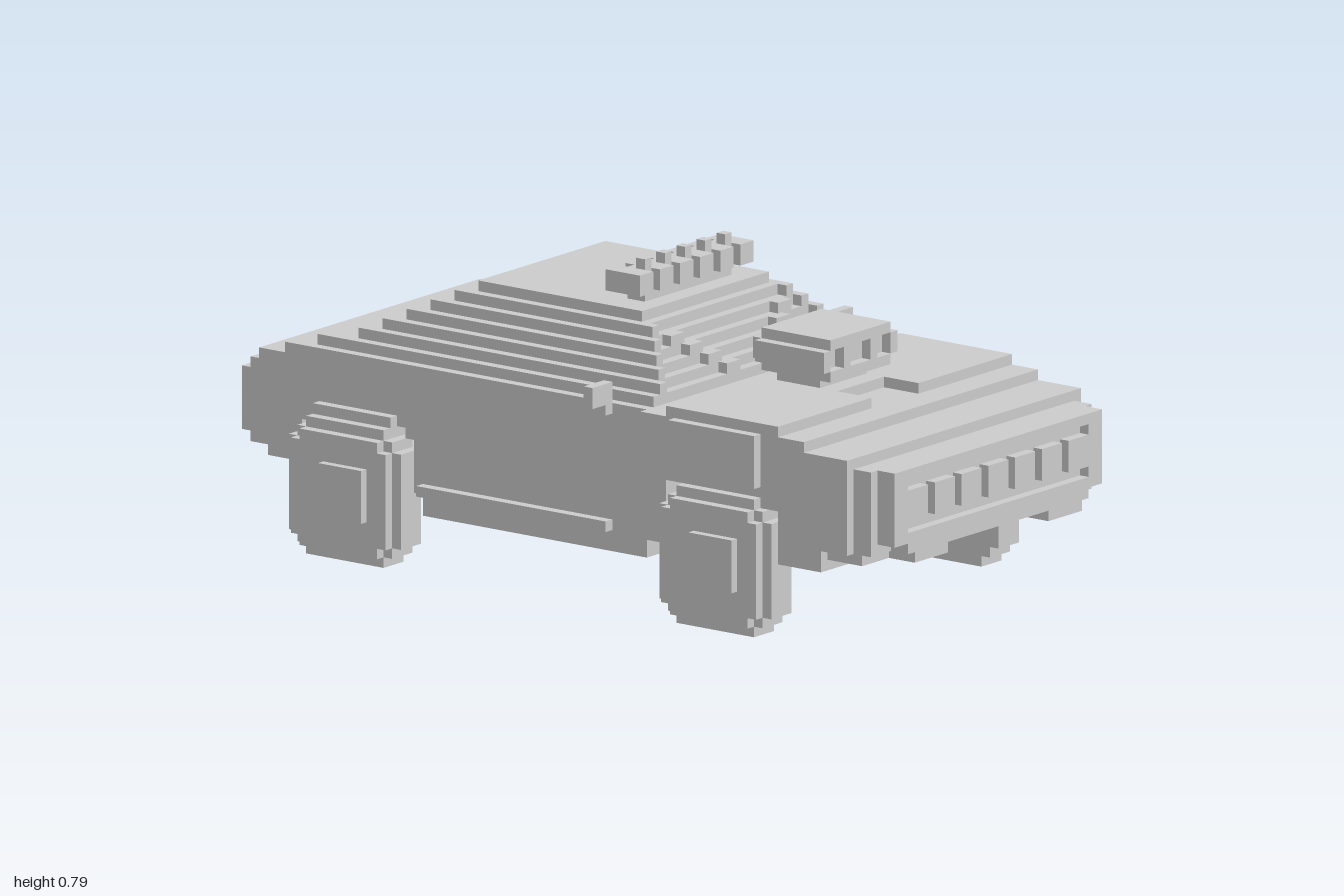
import * as THREE from 'three';

// All sizes are in cubes; the car is 76 cubes long.
const UNIT = 2 / 76;
const material = new THREE.MeshStandardMaterial({ color: 0xcccccc, flatShading: true });

export function createModel() {
  const car = new THREE.Group();
  car.name = 'car';
  car.scale.setScalar(UNIT);

  function part(name, parent = car) {
    const g = new THREE.Group();
    g.name = name;
    parent.add(g);
    return g;
  }
  function box(g, x0, x1, y0, y1, z0, z1) {
    const m = new THREE.Mesh(new THREE.BoxGeometry(x1 - x0, y1 - y0, z1 - z0), material);
    m.position.set((x0 + x1) / 2, (y0 + y1) / 2, (z0 + z1) / 2);
    m.name = g.name + 'Block';
    g.add(m);
  }
  // Centred block, and a left/right pair
  const wide = (g, half, y0, y1, z0, z1) => box(g, -half, half, y0, y1, z0, z1);
  const pair = (g, x0, x1, ...rest) => {
    box(g, x0, x1, ...rest);
    box(g, -x1, -x0, ...rest);
  };

  // Roof: stepped layers, widening downwards
  const roof = part('roof');
  for (let i = 0; i < 6; i++) wide(roof, 9.5 + i, 25 - i, 26 - i, -15 - 2 * i, 4 + i);

  // Windscreen pillars and wipers, one step proud of the glass
  const pillars = part('windscreenPillars');
  for (let i = 1; i < 6; i++) pair(pillars, 8.5 + i, 9.5 + i, 25 - i, 26 - i, 4 + i, 5 + i);
  const wipers = part('wipers');
  for (let i = 2; i < 6; i++) {
    const x = 2.5 + (5 - i) * 1.5;
    pair(wipers, x, x + 2, 25 - i, 26 - i, 4 + i, 5 + i);
  }

  // Cabin and sloping tail
  const cabin = part('cabin');
  wide(cabin, 15.5, 19, 20, -29, 10);
  wide(cabin, 16.5, 18, 19, -32, 11);
  wide(cabin, 16.5, 17, 18, -35, 11);
  wide(cabin, 16.5, 16, 17, -36, 11);
  wide(cabin, 16.5, 13, 16, -37, 11);
  wide(cabin, 16.5, 7, 13, -17, 11);
  wide(cabin, 16.5, 12, 13, -18, -17);
  const tail = part('tail');
  wide(tail, 16.5, 10, 13, -37, -30);
  wide(tail, 16.5, 9, 10, -36, -30);
  wide(tail, 16.5, 8, 9, -34, -30);
  wide(tail, 16.5, 7, 8, -31, -30);
  wide(tail, 16.5, 12, 13, -30, -28.5);

  // Rear bumper frame
  const bumper = part('rearBumper');
  wide(bumper, 10.5, 10, 11, -38, -37);
  pair(bumper, 9.5, 10.5, 11, 14, -38, -37);

  // Bonnet with a slot in front of the intake
  const bonnet = part('bonnet');
  wide(bonnet, 17.5, 19, 20, 13, 22);
  pair(bonnet, 3.5, 17.5, 19, 20, 22, 26);
  wide(bonnet, 17.5, 18, 19, 10, 29);
  wide(bonnet, 17.5, 17, 18, 10, 34);
  wide(bonnet, 17.5, 13, 17, 10, 34);
  wide(bonnet, 17.5, 7, 13, 10, 13);
  wide(bonnet, 17.5, 12, 13, 24, 26);

  // Nose: corners stepped back from the front
  const nose = part('nose');
  wide(nose, 17.5, 9, 13, 26, 34);
  wide(nose, 17.5, 7, 9, 26, 31);
  wide(nose, 16.5, 8, 9, 31, 35);
  wide(nose, 16.5, 9, 17, 34, 36);
  wide(nose, 15.5, 10, 17, 36, 37);

  // Front frame, lamps and lower lip
  const grille = part('grille');
  wide(grille, 15.5, 16, 17, 37, 38);
  wide(grille, 15.5, 10, 11, 37, 38);
  pair(grille, 13.5, 15.5, 11, 16, 37, 38);
  for (let i = -3; i <= 3; i++) box(grille, i * 4 - 1.5, i * 4 + 1.5, 12, 15, 37, 38);
  const lip = part('frontLip');
  wide(lip, 13.5, 9, 10, 36, 38);
  pair(lip, 7.5, 12.5, 8, 9, 35, 38);

  // Fender flares
  const flares = part('fenderFlares');
  pair(flares, 17.5, 18.5, 14, 19, 14, 24);
  pair(flares, 16.5, 17.5, 13, 14, -28, -19);

  // Side skirts
  const skirts = part('sideSkirts');
  pair(skirts, 14.5, 16.5, 5, 7, -16, 10);
  pair(skirts, 16.5, 17.5, 7, 8, -16, 6);

  // Mirrors
  const mirrors = part('mirrors');
  pair(mirrors, 16.5, 19.5, 19, 21, 5, 6);
  pair(mirrors, 16.5, 17.5, 18, 19, 5, 6);

  // Bonnet intake with three openings
  const intake = part('bonnetIntake');
  wide(intake, 3.5, 20, 21, 15, 20);
  wide(intake, 4.5, 21, 22, 14, 22);
  wide(intake, 5.5, 22, 24, 14, 21);
  wide(intake, 4.5, 24, 25, 14, 22);
  wide(intake, 4.5, 22, 24, 13, 14);
  pair(intake, 1.5, 2.5, 22, 24, 21, 22);
  pair(intake, 4.5, 5.5, 22, 24, 21, 22);

  // Roof light bar
  const lights = part('roofLights');
  wide(lights, 8.5, 27, 29, 0, 2);
  wide(lights, 6.5, 26, 27, 0, 2);
  for (let i = 0; i < 6; i++) box(lights, i * 3 - 8.5, i * 3 - 6.5, 27, 29, -1, 3);
  for (let i = -2; i <= 2; i++) box(lights, i * 3 - 0.5, i * 3 + 0.5, 27, 30, 1, 2);

  // Stepped disc outline, with an optional stepped hole
  function disc(steps) {
    const quarter = [];
    steps.forEach(([h, y], i) => {
      if (i) quarter.push([h, steps[i - 1][1]]);
      quarter.push([h, y]);
    });
    const pts = [];
    for (let q = 0; q < 4; q++) {
      for (const [a, b] of quarter) {
        pts.push(new THREE.Vector2(a, b).rotateAround(new THREE.Vector2(), -q * Math.PI / 2));
      }
    }
    return pts;
  }
  function slab(g, name, outer, hole, x0, x1) {
    const shape = new THREE.Shape(disc(outer));
    if (hole) shape.holes.push(new THREE.Path(disc(hole)));
    const geo = new THREE.ExtrudeGeometry(shape, { depth: x1 - x0, bevelEnabled: false });
    geo.rotateY(Math.PI / 2).translate(x0, 0, 0);
    const m = new THREE.Mesh(geo, material);
    m.name = name;
    g.add(m);
  }

  // Wheels and axles
  const tyre = [[2.5, 6.5], [4.5, 5.5], [5.5, 4.5], [6.5, 2.5]];
  const wall = [[2.5, 5.5], [4.5, 4.5], [5.5, 2.5]];
  const rim = [[2.5, 3.5], [3.5, 2.5]];
  const hub = [[1.5, 2.5], [2.5, 1.5]];
  for (const [end, z] of [['front', 19.5], ['rear', -23.5]]) {
    for (const side of [1, -1]) {
      const wheel = part(end + (side > 0 ? 'LeftWheel' : 'RightWheel'));
      wheel.position.set(0, 6.5, z);
      if (side < 0) wheel.rotation.y = Math.PI;
      slab(wheel, 'tyre', tyre, null, 15.5, 18.5);
      slab(wheel, 'tyreWall', wall, rim, 18.5, 19.5);
      slab(wheel, 'hub', hub, null, 18.5, 19.3);
    }
    const axle = part(end + 'Axle');
    wide(axle, 15.5, 7, 9, z - 2.5, z + 2.5);
    pair(axle, 10.5, 15.5, 4, 7, z - 2.5, z + 2.5);
    pair(axle, 3.5, 10.5, 5, 7, z - 1.5, z + 1.5);
    pair(axle, 2.5, 3.5, 6, 7, z - 1.5, z + 1.5);
  }
  return car;
}
